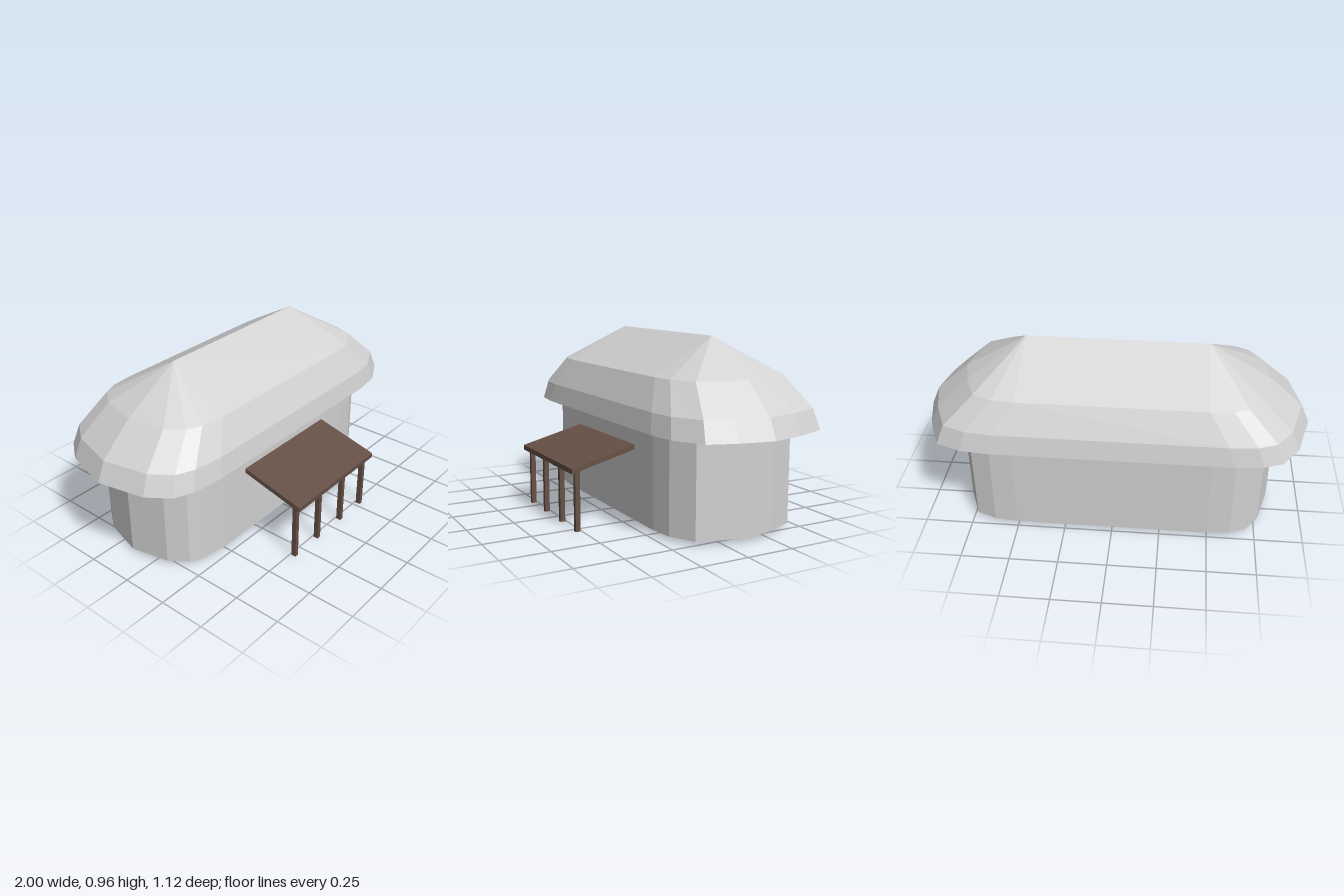
import * as THREE from 'three';

const CENTER_Z = -0.138;

// Plan outline of the eaves (x, z), relative to the building centre
const OUTLINE = [
  [1, 0], [0.963, 0.178], [0.914, 0.32], [0.76, 0.403], [0.61, 0.424],
  [-0.61, 0.424], [-0.77, 0.403], [-0.866, 0.361], [-0.947, 0.25],
  [-1, 0], [-0.93, -0.256], [-0.845, -0.372], [-0.75, -0.41], [-0.605, -0.424],
  [0.61, -0.424], [0.754, -0.41], [0.88, -0.36], [0.957, -0.18],
];

// Outline scaled to given half length and half depth, at height y
function ring(halfX, halfZ, y) {
  return OUTLINE.map(([x, z]) => new THREE.Vector3(x * halfX, y, (z / 0.424) * halfZ));
}

// Faceted surface joining successive rings
function loft(rings) {
  const pos = [];
  const tri = (...p) => {
    if (p[0].equals(p[1]) || p[1].equals(p[2]) || p[0].equals(p[2])) return;
    p.forEach((v) => pos.push(v.x, v.y, v.z));
  };
  for (let r = 0; r < rings.length - 1; r++) {
    const lo = rings[r], hi = rings[r + 1];
    for (let i = 0; i < lo.length; i++) {
      const j = (i + 1) % lo.length;
      tri(lo[i], hi[i], hi[j]);
      tri(lo[i], hi[j], lo[j]);
    }
  }
  const g = new THREE.BufferGeometry();
  g.setAttribute('position', new THREE.Float32BufferAttribute(pos, 3));
  g.computeVertexNormals();
  return g;
}

export function createModel() {
  const model = new THREE.Group();
  const plaster = new THREE.MeshStandardMaterial({ color: 0xd2d2d2, side: THREE.DoubleSide, flatShading: true });
  plaster.name = 'pale grey';
  const wood = new THREE.MeshStandardMaterial({ color: 0x665046, flatShading: true });
  wood.name = 'dark wood';

  const add = (parent, name, geometry, material) => {
    const mesh = new THREE.Mesh(geometry, material);
    mesh.name = name;
    parent.add(mesh);
    return mesh;
  };

  const building = new THREE.Group();
  building.name = 'building';
  building.position.z = CENTER_Z;
  model.add(building);

  // Open-bottomed wall shell
  add(building, 'walls', loft([ring(0.83, 0.353, 0.022), ring(0.83, 0.353, 0.52)]), plaster);

  // Roof: soffit, eaves, two shoulders, then a straight ridge
  const ridge = OUTLINE.map(([x]) => new THREE.Vector3(Math.abs(x) < 1e-6 ? 0 : Math.sign(x) * 0.465, 0.96, 0));
  add(building, 'roof', loft([
    ring(0.83, 0.353, 0.52),
    ring(1, 0.424, 0.52),
    ring(0.955, 0.405, 0.622),
    ring(0.785, 0.33, 0.772),
    ridge,
  ]), plaster);

  // Sloping porch canopy with vertical ends, extruded across x
  const porch = new THREE.Group();
  porch.name = 'porch';
  model.add(porch);
  const profile = new THREE.Shape([
    new THREE.Vector2(-0.56, 0.302), new THREE.Vector2(-0.197, 0.396),
    new THREE.Vector2(-0.197, 0.421), new THREE.Vector2(-0.56, 0.328),
  ]);
  const canopyGeo = new THREE.ExtrudeGeometry(profile, { depth: 0.66, bevelEnabled: false });
  canopyGeo.rotateY(Math.PI / 2);
  canopyGeo.translate(-0.343, 0, 0);
  add(porch, 'canopy', canopyGeo, wood);

  // Posts under the front edge
  for (const x of [-0.315, -0.12, 0.09, 0.283]) {
    add(porch, 'post', new THREE.BoxGeometry(0.022, 0.316, 0.026), wood).position.set(x, 0.158, 0.52);
  }
  return model;
}
